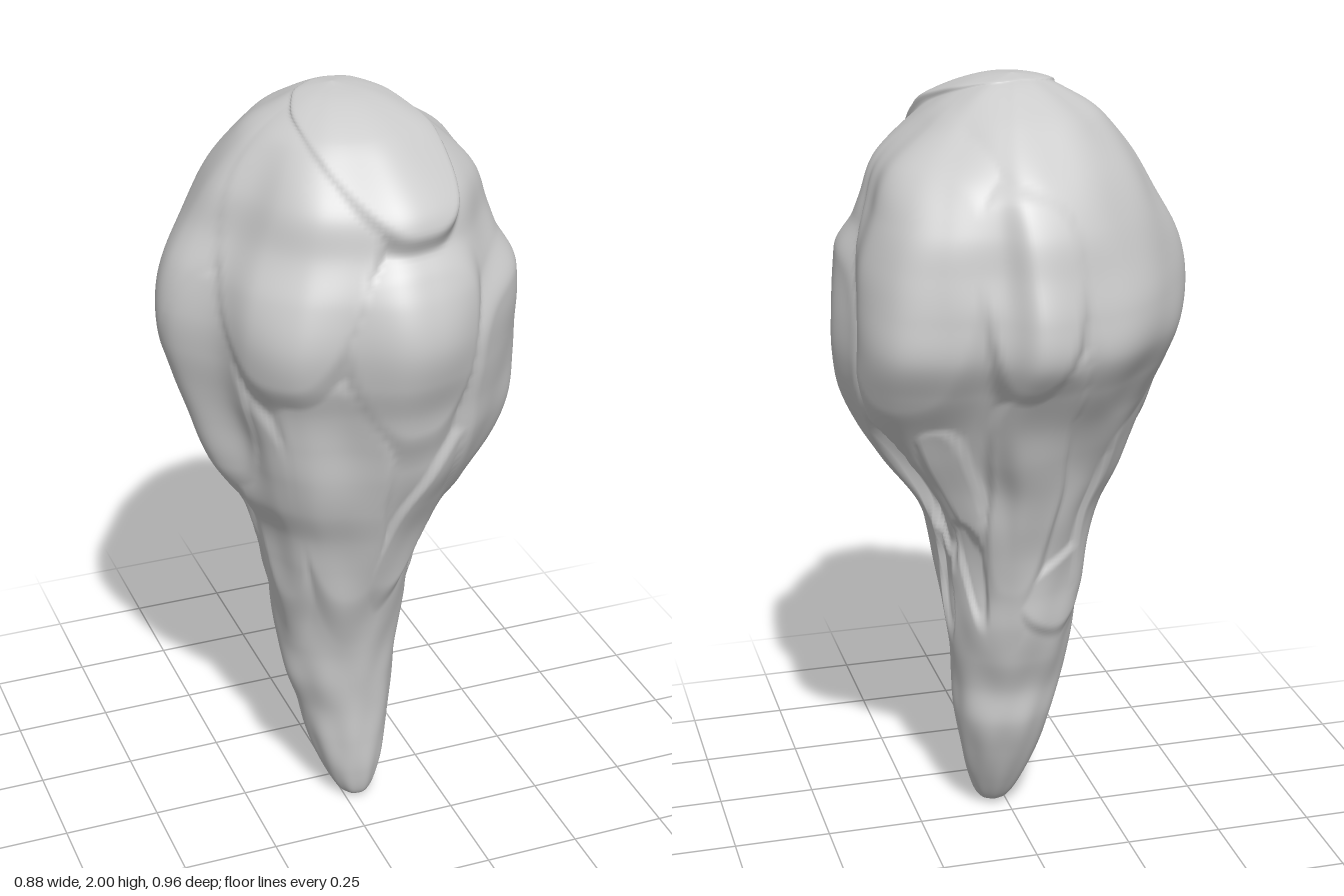
import * as THREE from 'three';

// height, x min, x max, z min, z max
const LEVELS = [
  [0, 0.035, 0.035, 0.085, 0.085], [0.02, -0.01, 0.075, 0.04, 0.13], [0.1, -0.052, 0.107, -0.012, 0.15],
  [0.2, -0.085, 0.13, -0.06, 0.155], [0.3, -0.108, 0.147, -0.095, 0.158], [0.4, -0.14, 0.153, -0.1, 0.168],
  [0.5, -0.153, 0.162, -0.135, 0.182], [0.6, -0.168, 0.177, -0.16, 0.207], [0.7, -0.187, 0.192, -0.165, 0.237],
  [0.8, -0.207, 0.212, -0.187, 0.267], [0.9, -0.237, 0.243, -0.222, 0.302], [1, -0.3, 0.3, -0.255, 0.345],
  [1.1, -0.34, 0.365, -0.3, 0.382], [1.2, -0.37, 0.41, -0.345, 0.405], [1.3, -0.405, 0.425, -0.405, 0.425],
  [1.4, -0.43, 0.425, -0.465, 0.46], [1.5, -0.43, 0.42, -0.465, 0.475], [1.6, -0.405, 0.41, -0.44, 0.455],
  [1.7, -0.35, 0.38, -0.41, 0.405], [1.8, -0.295, 0.34, -0.345, 0.37], [1.9, -0.215, 0.24, -0.23, 0.265],
  [1.95, -0.15, 0.165, -0.155, 0.19], [1.985, -0.08, 0.085, -0.08, 0.1], [2, 0, 0, 0, 0],
];

// Lumpy cross-section of the bulb, from the back round by +x
const OUTLINE = [
  [0.05, -0.48], [0.13, -0.425], [0.26, -0.385], [0.37, -0.33], [0.425, -0.2], [0.405, -0.05], [0.43, 0.1],
  [0.395, 0.22], [0.29, 0.35], [0.2, 0.43], [0.1, 0.475], [0, 0.48], [-0.12, 0.41], [-0.225, 0.37], [-0.305, 0.28],
  [-0.345, 0.16], [-0.43, 0.04], [-0.425, -0.065], [-0.335, -0.235], [-0.205, -0.385], [-0.09, -0.445],
];

// Overlapping plates, narrowing downwards:
// bearing (0 = front, 90 = +x), height, half width, half height, tilt, relief
const PLATES = [
  [8, 1.88, 0.18, 0.19, 0, 0.036], [-38, 1.62, 0.22, 0.36, 0.05, 0.026], [8, 1.43, 0.18, 0.28, 0, 0.018],
  [64, 1.24, 0.26, 0.38, 0.12, 0.028], [128, 1.5, 0.23, 0.38, 0.05, 0.026], [172, 1.52, 0.13, 0.3, 0, 0.026],
  [-128, 1.5, 0.37, 0.48, 0, 0.022], [-82, 1.3, 0.18, 0.36, 0, 0.02],
  // strands running down the stem
  [-20, 1.0, 0.13, 0.45, 0.1, 0.014], [28, 0.95, 0.1, 0.34, -0.3, 0.016], [-60, 0.95, 0.1, 0.4, 0, 0.014],
  [-120, 0.95, 0.1, 0.4, -0.1, 0.016], [175, 1.0, 0.1, 0.45, -0.1, 0.018], [142, 1.02, 0.05, 0.2, 0.1, 0.016],
  [-150, 0.68, 0.12, 0.12, 0.5, 0.012],
  // hollows under the +x plates
  [112, 0.96, 0.08, 0.22, 0.1, -0.035], [105, 0.7, 0.035, 0.18, -0.1, -0.016], [60, 0.7, 0.03, 0.12, 0.2, -0.014],
  [140, 0.75, 0.035, 0.16, 0.1, -0.014],
];

const { smoothstep: step, lerp, clamp, degToRad } = THREE.MathUtils;
const spline = (points, closed) => new THREE.CatmullRomCurve3(points, closed, 'catmullrom', 0.5);

// Relief at a bearing and height, given the local radius
function relief(phi, y, r) {
  let high = 0, low = 0;
  for (const [deg, py, w, h, tilt, amp] of PLATES) {
    const d = phi - degToRad(deg);
    const dx = Math.atan2(Math.sin(d), Math.cos(d)) * r, dy = y - py;
    const u = dx * Math.cos(tilt) + dy * Math.sin(tilt);
    const v = (dy * Math.cos(tilt) - dx * Math.sin(tilt)) / h;
    const width = w * (1 + 0.35 * clamp(v, -1, 1));
    // superellipse edge gives squarish plates
    const q = Math.pow(Math.abs(u / width) ** 3 + Math.abs(v) ** 3, 1 / 3);
    // the lower end of a plate melts into the stem
    const a = amp * (1 - step(q, lerp(0.82, 0.55, step(-v, 0, 1)), 1.06));
    high = Math.max(high, a);
    low = Math.min(low, a);
  }
  const ripple = 0.004 * Math.sin(5 * phi + 7 * y) * Math.sin(11 * y + 2 * phi)
    + 0.002 * Math.sin(9 * phi - 13 * y);
  return high + low + ripple - 0.018 * step(y, 0.5, 1.1);
}

function bodyGeometry(rows = 230, cols = 190) {
  const xs = spline(LEVELS.map(l => new THREE.Vector3(l[1], l[0], l[2])), false);
  const zs = spline(LEVELS.map(l => new THREE.Vector3(l[3], l[0], l[4])), false);
  const ring = spline(OUTLINE.map(p => new THREE.Vector3(p[0] / 0.43, 0, p[1] / 0.48)), true);
  const position = [], index = [];
  for (let i = 0; i <= rows; i++) {
    const X = xs.getPoint(i / rows), Z = zs.getPoint(i / rows), y = X.y;
    const a = (X.z - X.x) / 2, b = (Z.z - Z.x) / 2;
    const lumpy = step(y, 0.6, 1.2) * (1 - 0.7 * step(y, 1.55, 1.95));
    for (let j = 0; j < cols; j++) {
      const p = ring.getPoint(j / cols);
      p.lerp(p.clone().normalize(), 1 - lumpy);
      const dx = a * p.x, dz = b * p.z, r = Math.hypot(dx, dz);
      const push = r > 0 ? 1 + relief(Math.atan2(dx, dz), y, r) * Math.min(1, r / 0.2) / r : 1;
      position.push((X.x + X.z) / 2 + dx * push, y, (Z.x + Z.z) / 2 + dz * push);
      if (i < rows) {
        const k = (j + 1) % cols, p0 = i * cols, p1 = p0 + cols;
        index.push(p0 + j, p1 + j, p0 + k, p1 + j, p1 + k, p0 + k);
      }
    }
  }
  const g = new THREE.BufferGeometry();
  g.setAttribute('position', new THREE.Float32BufferAttribute(position, 3));
  g.setIndex(index);
  g.computeVertexNormals();
  return g;
}

export function createModel() {
  const group = new THREE.Group();
  const body = new THREE.Mesh(bodyGeometry(), new THREE.MeshStandardMaterial({ color: 0xcccccc }));
  body.name = 'lumpyTaperedBody';
  group.add(body);
  return group;
}
